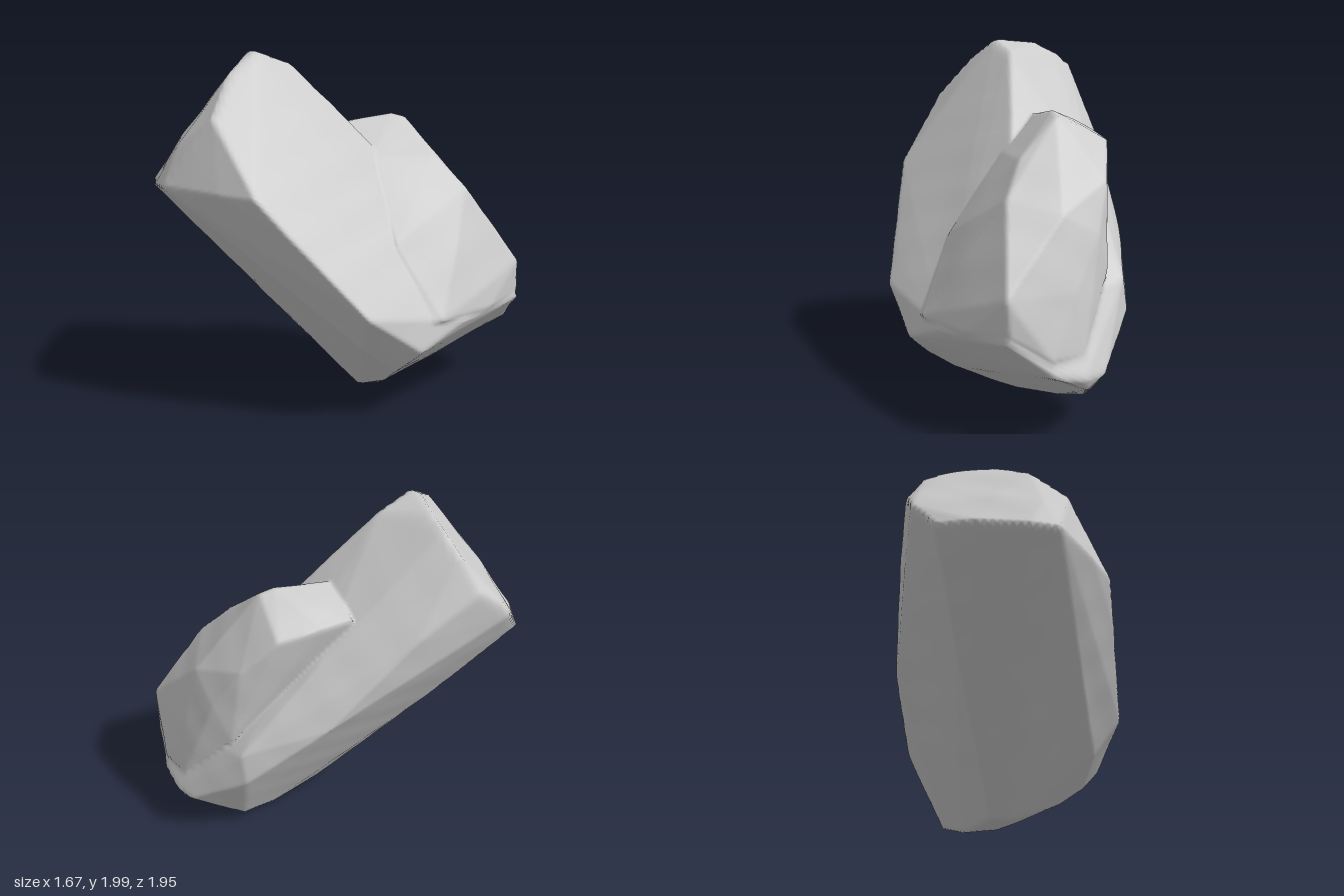
import * as THREE from 'three';
import { mergeVertices } from 'three/addons/utils/BufferGeometryUtils.js';
import { ConvexGeometry } from 'three/addons/geometries/ConvexGeometry.js';

const CENTRE = new THREE.Vector3(0.12, 0.86, -0.06);

// Corners of the long leaning slab
const SLAB = [
  // upper end
  [-0.15, 2, 0.4], [-0.23, 2, 0.4], [-0.38, 1.98, 0.29], [-0.5, 1.93, 0.25], [-0.63, 1.84, 0.23], [-0.76, 1.64, 0.27],
  [-0.84, 1.45, 0.47], [-0.1, 1.93, 0.2], [-0.13, 1.88, 0.6], [-0.02, 1.65, 0.8],
  [-0.25, 1.5, 0.86], [-0.45, 1.53, 0.71],
  // front ridge
  [-0.79, 1.27, 0.63], [-0.64, 1.27, 0.79], [-0.4, 1.27, 0.93], [-0.24, 1.28, 0.98], [0.1, 1.26, 0.85], [0.3, 1.25, 0.76],
  // right-hand flat face
  [0.11, 1.6, -0.06], [0.42, 1.05, 0.64], [0.6, 0.8, 0.41], [0.71, 0.62, 0.34], [0.75, 0.5, 0.16],
  // back left edge
  [-0.6, 1.42, -0.05], [-0.35, 0.93, -0.48], [-0.03, 0.57, -0.83], [-0.3, 1.48, -0.18], [-0.2, 1.26, -0.4], [0, 0.76, -0.83],
  // underside
  [-0.45, 0.77, 0.33], [-0.35, 0.67, 0.32], [0.1, 0.03, -0.12], [0.2, 0.03, -0.06],
];

// Rim of the broad flat foot
const FOOT = [
  [0.2, 0, -0.2], [0.15, 0.03, -0.48], [0.16, 0.1, -0.7], [0.3, 0.34, -0.98], [0.44, 0.34, -0.98],
  [0.4, 0.27, -0.95], [0.6, 0.37, -0.93], [0.8, 0.56, -0.8], [0.83, 0.52, -0.3], [0.8, 0.4, 0.03],
  [0.64, 0.25, 0.07], [0.5, 0.15, 0.02], [0.58, 0.4, 0.25],
];

// Corners of the shorter block leaning on its back
const BLOCK = [
  // crown and back
  [-0.02, 1.58, -0.08], [0.12, 1.63, -0.4], [0.16, 1.61, -0.47], [0.42, 1.4, -0.46], [0.59, 1.22, -0.55],
  [0.8, 0.78, -0.79], [0.4, 1.14, -0.77], [0.2, 1.02, -0.83], [0.42, 0.76, -0.88],
  // right side, merging into the slab
  [0.25, 1.39, -0.12], [0.55, 0.95, -0.02], [0.83, 0.56, -0.5], [0.82, 0.55, -0.12], [0.7, 0.5, 0.15],
  [0.78, 0.45, -0.3], [0.79, 0.58, -0.8],
  // overhanging left edge
  [-0.28, 1.5, -0.21], [-0.22, 1.5, -0.38], [-0.1, 1.47, -0.6], [0.05, 1.28, -0.74], [0.1, 0.8, -0.8],
  // buried base
  [0.4, 0.45, -0.93], [0.6, 0.45, -0.91], [-0.05, 0.85, 0.15], [0.2, 0.2, -0.1],
];

// Face planes of a convex stone, each relative to the shared centre
function facePlanes(corners) {
  const pts = corners.map((c) => new THREE.Vector3(...c).sub(CENTRE));
  const pos = new ConvexGeometry(pts).attributes.position;
  const planes = [];
  for (let i = 0; i < pos.count; i += 3) {
    const [a, b, c] = [0, 1, 2].map((k) => new THREE.Vector3().fromBufferAttribute(pos, i + k));
    planes.push(new THREE.Plane().setFromCoplanarPoints(a, b, c));
  }
  return planes;
}

// Distance from the centre to the stone's surface along a direction
function reach(planes, dir) {
  let r = Infinity;
  for (const { normal, constant } of planes) {
    const s = normal.dot(dir);
    if (s > 1e-6) r = Math.min(r, -constant / s);
  }
  return r;
}

// Gentle weathering
const wear = (p) =>
  0.004 * Math.sin(9 * p.x + 4 * p.y) * Math.sin(8 * p.z - 5 * p.y + 1) +
  0.002 * Math.sin(17 * p.y + 6 * p.z) * Math.sin(15 * p.x + 2);

export function createModel() {
  const group = new THREE.Group();
  group.name = 'rock';

  // Push a fine ball out to the joined surface of both stones
  const ball = new THREE.IcosahedronGeometry(1, 60);
  ball.deleteAttribute('normal');
  ball.deleteAttribute('uv');
  const geo = mergeVertices(ball, 1e-5);
  const stones = [[...SLAB, ...FOOT], BLOCK].map(facePlanes);
  const pos = geo.attributes.position;
  const dir = new THREE.Vector3();
  const p = new THREE.Vector3();
  for (let i = 0; i < pos.count; i++) {
    dir.fromBufferAttribute(pos, i).normalize();
    const r = Math.max(...stones.map((s) => reach(s, dir)));
    p.copy(dir).multiplyScalar(r);
    p.addScaledVector(dir, wear(p)).add(CENTRE);
    pos.setXYZ(i, p.x, p.y, p.z);
  }
  geo.computeVertexNormals();

  const rock = new THREE.Mesh(geo, new THREE.MeshStandardMaterial({ color: 0xcccccc }));
  rock.name = 'boulder';
  group.add(rock);
  return group;
}
